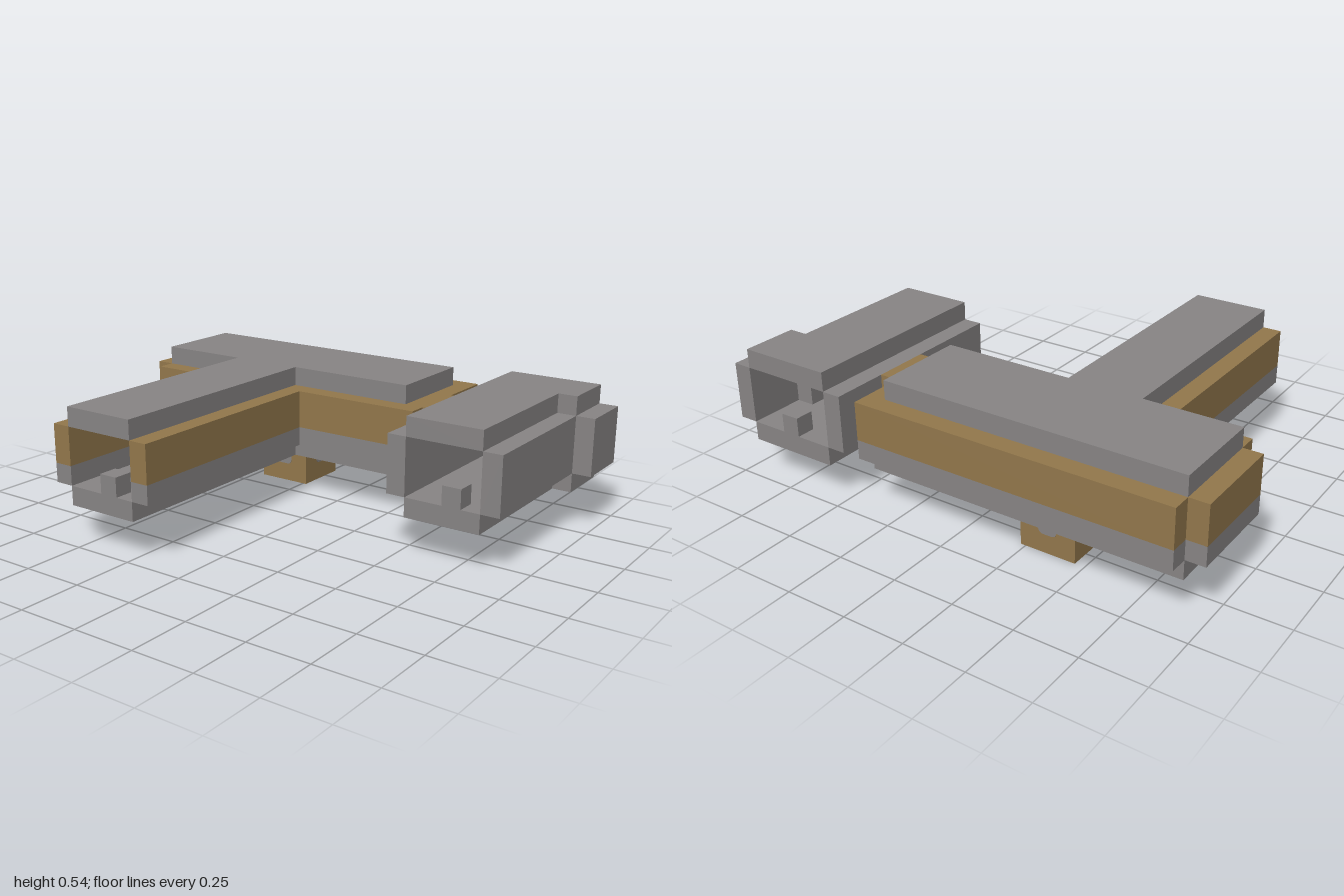
import * as THREE from 'three';

const U = 1 / 13; // one modelling block
const grey = new THREE.MeshStandardMaterial({ color: 0x888585 });
grey.name = 'gunmetal grey';
const brown = new THREE.MeshStandardMaterial({ color: 0x93784c });
brown.name = 'wood brown';

export function createModel() {
  const model = new THREE.Group();
  model.name = 'blockDevice';

  const add = (name, geometry, material) => {
    const mesh = new THREE.Mesh(geometry, material);
    mesh.name = name;
    model.add(mesh);
    return mesh;
  };

  // Box given by its two corners, in blocks
  const box = (name, material, x0, x1, y0, y1, z0, z1) => {
    const g = new THREE.BoxGeometry((x1 - x0) * U, (y1 - y0) * U, (z1 - z0) * U);
    g.translate((x0 + x1) / 2 * U, (y0 + y1) / 2 * U, (z0 + z1) / 2 * U);
    return add(name, g, material);
  };

  // Plan outline of [x, z] points raised from y0 to y1
  const slab = (name, material, y0, y1, points) => {
    const shape = new THREE.Shape(points.map(([x, z]) => new THREE.Vector2(x * U, -z * U)));
    const g = new THREE.ExtrudeGeometry(shape, { depth: (y1 - y0) * U, bevelEnabled: false });
    g.rotateX(-Math.PI / 2).translate(0, y0 * U, 0);
    return add(name, g, material);
  };

  // T-shaped body: hollow wall, open at the front of the stem
  const bodyWall = [
    [-8, 9.5], [-8, -2.5], [-12, -2.5], [-12, -3.5], [-13, -3.5], [-13, -8.5], [-12, -8.5], [-12, -9.5],
    [5, -9.5], [5, -6.5], [6, -6.5], [6, -3.5], [5, -3.5], [5, -2.5], [-2, -2.5], [-2, 9.5],
    [-3, 9.5], [-3, -3.5], [4, -3.5], [4, -8.5], [-11.95, -8.5], [-11.95, -3.5], [-7, -3.5], [-7, 9.5],
  ];
  slab('bodyLowerWall', grey, 3, 4, bodyWall);
  slab('bodyUpperWall', brown, 4, 6, bodyWall);

  // Top and bottom covers of the T
  const cover = (right) => [
    [-12, -8.5], [right, -8.5], [right, -3.5], [-3, -3.5], [-3, 9.5], [-7, 9.5], [-7, -3.5], [-12, -3.5],
  ];
  slab('bodyTop', grey, 6, 7, cover(4));
  slab('bodyFloor', grey, 2, 3, cover(5));
  box('connectorFloor', grey, 5, 7, 2, 3, -5.5, -4.5);
  box('stemNub', grey, -5, -4, 3, 4, 8.5, 9.5);

  // Side barrel: open tube, wider at the back
  const barrelPlate = [[7, -9.5], [12, -9.5], [12, -6.5], [11, -6.5], [11, 1.5], [7, 1.5]];
  slab('barrelTop', grey, 6, 7, barrelPlate);
  slab('barrelFloor', grey, 2, 3, barrelPlate);
  box('barrelInnerWall', grey, 6, 7, 3, 6, -9.5, 1.5);
  box('barrelOuterWall', grey, 11, 12, 3, 6, -6.5, 1.5);
  box('barrelRearWall', grey, 12, 13, 3, 6, -9.5, -6.5);
  box('barrelFrontNub', grey, 9, 10, 3, 4, 0.5, 1.5);
  box('barrelRearNub', grey, 9, 10, 3, 4, -9.5, -8.5);

  // Foot block with a rounded button on each exposed face
  box('foot', brown, -6, -3, 0, 4, -7.5, -4.5);
  const button = (height) => {
    const w = 0.5 * U, h = height / 2 * U, r = 0.3 * U;
    const s = new THREE.Shape();
    s.moveTo(-w + r, -h).lineTo(w - r, -h).quadraticCurveTo(w, -h, w, -h + r);
    s.lineTo(w, h - r).quadraticCurveTo(w, h, w - r, h);
    s.lineTo(-w + r, h).quadraticCurveTo(-w, h, -w, h - r);
    s.lineTo(-w, -h + r).quadraticCurveTo(-w, -h, -w + r, -h);
    return new THREE.ExtrudeGeometry(s, { depth: 0.002, bevelEnabled: false, curveSegments: 4 });
  };
  for (let i = 0; i < 4; i++) {
    const a = i * Math.PI / 2;
    const b = add('footSideButton', button(2), grey);
    b.position.set((-4.5 + 1.5 * Math.sin(a)) * U, 2 * U, (-6 + 1.5 * Math.cos(a)) * U);
    b.rotation.y = a;
  }
  const under = add('footBottomButton', button(1), grey);
  under.position.set(-4.5 * U, 0, -6 * U);
  under.rotation.x = Math.PI / 2;

  return model;
}
